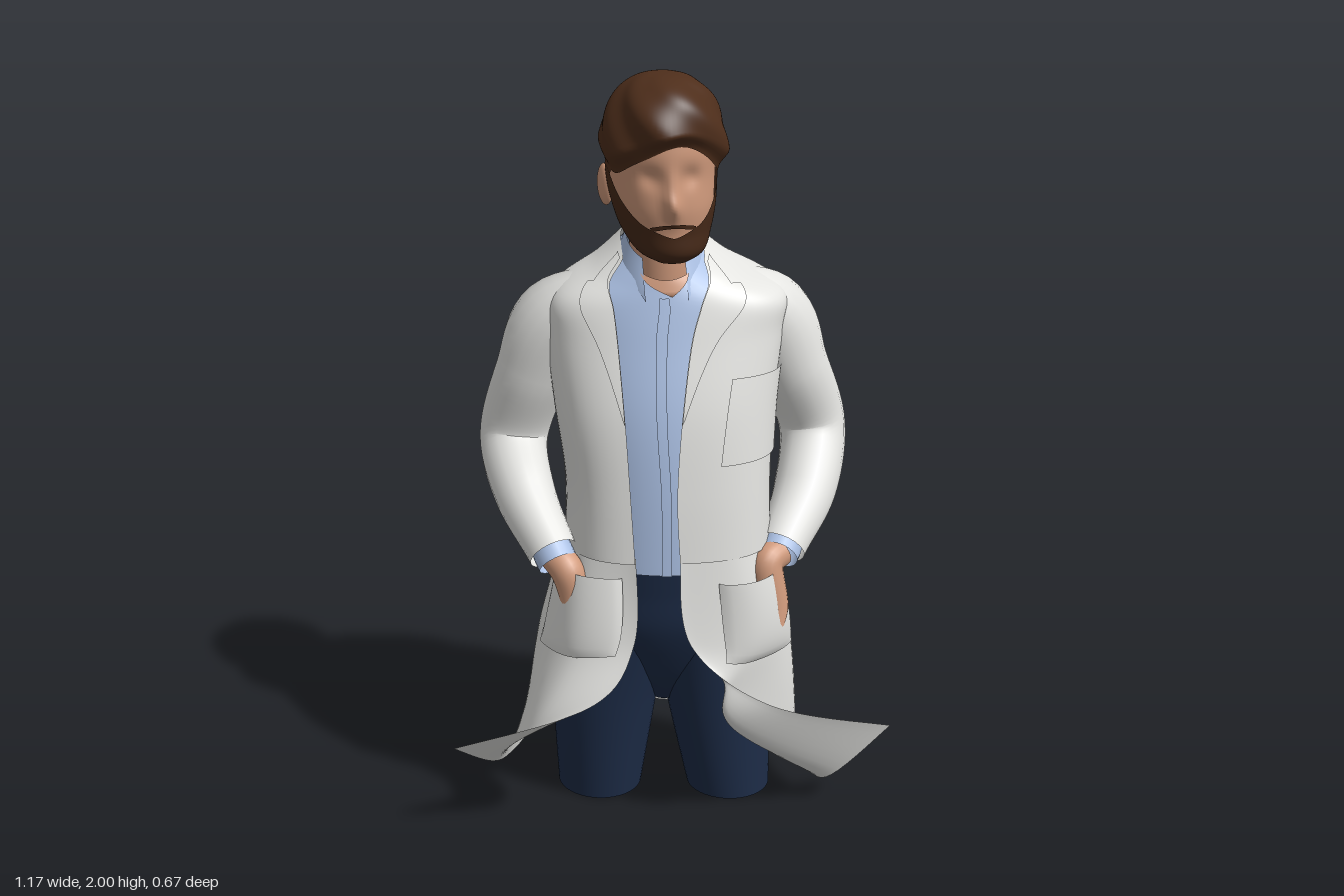
import * as THREE from 'three';
import { mergeVertices } from 'three/addons/utils/BufferGeometryUtils.js';

const paint = (name, color, side = THREE.FrontSide) => {
  const m = new THREE.MeshStandardMaterial({ color, side });
  m.name = name;
  return m;
};
const white = paint('coat white', 0xe4e4e1, THREE.DoubleSide);
const blue = paint('shirt blue', 0xabc0e3, THREE.DoubleSide);
const navy = paint('trouser navy', 0x1d2c47);
const skin = paint('skin', 0xd09a7c);
const brown = paint('hair brown', 0x4e2e1b, THREE.DoubleSide);
const dark = paint('beard brown', 0x472a19, THREE.DoubleSide);

const BODY = -0.22, HEAD = -0.15; // yaw of body and head
const { lerp, clamp, smoothstep } = THREE.MathUtils;
const bell = (x, w) => Math.exp(-((x / w) ** 2));

// Smooth interpolation through a list of equal-length rows, t from 0 to 1
function spline(rows, t) {
  const n = rows.length - 1, f = clamp(t, 0, 1) * n;
  const i = Math.min(Math.floor(f), n - 1), k = f - i;
  const [a, b, c, d] = [-1, 0, 1, 2].map(o => rows[clamp(i + o, 0, n)]);
  return b.map((_, m) => 0.5 * (2 * b[m] + (c[m] - a[m]) * k
    + (2 * a[m] - 5 * b[m] + 4 * c[m] - d[m]) * k * k
    + (3 * b[m] - a[m] - 3 * c[m] + d[m]) * k * k * k));
}

// Point on a turned ellipse; angle 0 is the front, tilt lowers the front, n above 2 is boxier
function ring([y, cx, cz, rx, rz, tilt = 0], angle, yaw, n = 2) {
  const S = Math.sin(angle), C = Math.cos(angle), c = Math.cos(yaw), s = Math.sin(yaw);
  const r = (Math.abs(S) ** n + Math.abs(C) ** n) ** (-1 / n), X = rx * S * r, Z = rz * C * r;
  return new THREE.Vector3(cx + X * c + Z * s, y - tilt * C, cz - X * s + Z * c);
}

// Surface from fn(u, v), pushed out along its normal by offset(u, v)
function sheet(fn, nu, nv, offset) {
  const pos = [], idx = [], e = 0.004;
  for (let j = 0; j <= nv; j++) for (let i = 0; i <= nu; i++) {
    const u = i / nu, v = j / nv, p = fn(u, v);
    if (offset) {
      const du = fn(Math.min(u + e, 1), v).sub(fn(Math.max(u - e, 0), v));
      const dv = fn(u, Math.min(v + e, 1)).sub(fn(u, Math.max(v - e, 0)));
      p.addScaledVector(du.cross(dv).normalize(), offset(u, v));
    }
    pos.push(p.x, p.y, p.z);
    if (i < nu && j < nv) {
      const a = j * (nu + 1) + i, b = a + nu + 1;
      idx.push(a, a + 1, b, a + 1, b + 1, b);
    }
  }
  const g = new THREE.BufferGeometry();
  g.setAttribute('position', new THREE.Float32BufferAttribute(pos, 3));
  g.setIndex(idx);
  const merged = mergeVertices(g, 1e-5);
  merged.computeVertexNormals();
  return merged;
}
const flat = d => () => d;
// Open-topped bag shape for the hip pockets
const bag = (u, v) => .006 + .034 * Math.sin(Math.PI * u) ** .6 * Math.cos(v * Math.PI / 2) ** .6;

// Closed body through ellipse rows listed from bottom to top
const loft = (rows, yaw, nu = 40, nv = 32) =>
  sheet((u, v) => ring(spline(rows, v), lerp(-Math.PI, Math.PI, u), yaw), nu, nv);

// Tube through [x, y, z, radius] points
function limb(pts) {
  const curve = new THREE.CatmullRomCurve3(pts.map(p => new THREE.Vector3(...p)));
  const n = 40, sides = 20, g = new THREE.TubeGeometry(curve, n, 1, sides), a = g.attributes.position;
  const p = new THREE.Vector3();
  for (let i = 0; i <= n; i++) {
    const c = curve.getPointAt(i / n), r = spline(pts.map(q => [q[3]]), curve.getUtoTmapping(i / n))[0];
    for (let j = 0; j <= sides; j++) {
      const k = i * (sides + 1) + j;
      p.fromBufferAttribute(a, k).sub(c).multiplyScalar(r).add(c);
      a.setXYZ(k, p.x, p.y, p.z);
    }
  }
  return g;
}

// Upper coat rows: y, centre x, centre z, radius x, radius z, tilt, opening right x, opening left x
const coatRows = [
  [1.55, .035, -.03, .105, .125, .06, -.09, .10],
  [1.50, .045, -.05, .18, .155, .03, -.12, .10],
  [1.43, .06, -.062, .30, .187, .01, -.12, .08],
  [1.33, .05, -.06, .308, .208, 0, -.12, .05],
  [1.15, .038, -.03, .288, .222, 0, -.12, .015],
  [.95, .04, -.005, .27, .225, 0, -.115, -.005],
  [.775, .04, 0, .272, .235, 0, -.11, -.002],
];
function coat(u, v) {
  const row = spline(coatRows, v), [, cx, , rx, rz] = row;
  const angleAt = x => Math.asin(clamp((x - cx - rz * Math.sin(BODY)) / (rx * Math.cos(BODY)), -1, 1));
  return ring(row, lerp(angleAt(row[6]), angleAt(row[7]) - 2 * Math.PI, u), BODY, 2.8);
}

// Skirt rows run from the right front edge round the back to the left front edge
const skirtRows = [
  Array.from({ length: 11 }, (_, j) => {
    const p = coat(j / 10, 1);
    return [lerp(.04, p.x, .98), .79, p.z * .98];
  }),
  [[-.125, .56, .225], [-.265, .54, .13], [-.30, .53, -.06], [-.20, .53, -.22], [-.05, .53, -.26], [.14, .53, -.235],
    [.285, .53, -.14], [.353, .53, .0], [.325, .53, .17], [.18, .53, .265], [.02, .55, .26]],
  [[-.25, .41, .245], [-.375, .33, .13], [-.34, .30, -.07], [-.22, .30, -.25], [-.08, .30, -.29], [.12, .30, -.26],
    [.295, .30, -.165], [.38, .30, -.04], [.345, .30, .17], [.11, .33, .285], [.22, .38, .33]],
  [[-.585, .27, .10], [-.455, .15, -.015], [-.365, .11, -.13], [-.23, .12, -.29], [-.12, .12, -.33], [.07, .115, -.30],
    [.285, .11, -.19], [.405, .10, -.10], [.40, .09, .10], [.43, .07, .22], [.585, .24, .29]],
];
const skirt = (u, v) => new THREE.Vector3(...spline(skirtRows.map(r => spline(r, u)), v));
const part = (fn, u0, u1, v0, v1) => (u, v) => fn(lerp(u0, u1, u), lerp(v0, v1, v));

// Head with nose and eye hollows
const headRows = [
  [1.545, .026, .08, .035, .03], [1.57, .027, .06, .08, .078], [1.62, .025, .03, .108, .113],
  [1.68, .023, .015, .125, .138], [1.75, .022, 0, .134, .152], [1.83, .023, 0, .135, .157],
  [1.92, .025, 0, .12, .135], [1.97, .025, 0, .06, .07],
];
function headAt(angle, v) {
  const row = spline(headRows, v), y = row[0], p = ring(row, angle, HEAD);
  const d = .026 * bell(angle, .14) * bell(y - 1.695, .032) + .012 * bell(angle, .13) * bell(y - 1.745, .04)
    - .012 * bell(Math.abs(angle) - .38, .2) * bell(y - 1.765, .026);
  return p.add(new THREE.Vector3(d * Math.sin(HEAD), 0, d * Math.cos(HEAD)));
}

// Swept hair, lower at the temples and full over the forehead
function hairCap(u, v) {
  const a = lerp(-Math.PI, Math.PI, u);
  const low = -.02 - .16 * bell(Math.abs(a) - 1.2, .4) + .24 * bell(a - .12, .6);
  const f = lerp(low, Math.PI / 2, v), rim = smoothstep(v, 0, .14);
  const k = Math.max(Math.cos(f), 0) ** .8 * lerp(.87, 1, rim);
  const strands = .008 * Math.sin(6 * a + 7 * f) * Math.cos(f) * (.4 + .6 * bell(a, 1.3));
  const s = rim * (strands + .035 * bell(a + .1, .65) * Math.sin(2 * f));
  return ring([1.8 + .2 * Math.sin(f), .025, 0, .163 * k + s, .185 * k + s], a, HEAD);
}

export function createModel() {
  const model = new THREE.Group();
  const add = (name, geo, mat) => {
    const m = new THREE.Mesh(geo, mat);
    m.name = name;
    model.add(m);
    return m;
  };

  // Trousers
  add('hips', loft([[.28, .04, -.03, .04, .05], [.4, .04, -.03, .16, .13], [.54, .04, -.01, .235, .175], [.66, .04, 0, .235, .185], [.76, .04, 0, .24, .2]], BODY), navy);
  for (const [name, rows] of [
    ['rightLeg', [[0, -.125, -.1, .115, .125], [.3, -.112, -.072, .143, .14], [.54, -.075, -.04, .135, .15]]],
    ['leftLeg', [[0, .215, .02, .115, .12], [.3, .182, .01, .145, .14], [.54, .14, .01, .14, .155]]],
  ]) {
    add(name, loft(rows, 0), navy);
    const [, cx, cz, rx, rz] = rows[0];
    add(name + 'End', new THREE.CircleGeometry(1, 40).rotateX(Math.PI / 2).scale(rx, 1, rz).translate(cx, 0, cz), navy);
  }

  // Shirt with placket, open throat and folded collar
  const shirtRows = coatRows.map(([y, cx, cz, rx, rz, t]) => [y < .8 ? .735 : y, cx, cz, rx * .93, rz * .93, t]).reverse();
  const shirt = (angle, v) => ring(spline(shirtRows, v), angle, BODY);
  add('shirt', loft(shirtRows, BODY), blue);
  add('placket', sheet((u, v) => shirt(lerp(-.14, -.04, u), lerp(0, .74, v)), 3, 30, flat(.006)), blue);
  add('throat', sheet((u, v) => shirt(lerp(-.72, .6, u) * v, lerp(.75, 1, v)), 12, 10, flat(.007)), skin);
  add('shirtCollar', sheet((u, v) => {
    const start = lerp(.66, .5, v), a = lerp(start, 2 * Math.PI - start, u), front = bell(Math.min(a, 2 * Math.PI - a), .65);
    const row = spline([[1.585, .03, -.03, .088, .105, .055], [1.53, .033, -.03, .11, .128 + .05 * front, .055]], v);
    row[0] -= .075 * v * front;
    return ring(row, a, BODY);
  }, 48, 6), blue);

  // Coat
  add('coatBody', sheet(coat, 72, 48), white);
  add('coatSkirt', sheet(skirt, 90, 40), white);
  const lapelWidth = t => (t < .3 ? .06 : .12 * (1 - t));
  const lapelV = t => lerp(.02, .68, t);
  add('leftLapel', sheet((u, t) => coat(1 - lapelWidth(t) * (1 - u), lapelV(t)), 6, 40, flat(.012)), white);
  add('rightLapel', sheet((u, t) => coat(lapelWidth(t) * .8 * u, lapelV(t)), 6, 40, flat(.012)), white);
  add('chestPocket', sheet(part(coat, .80, .935, .583, .767), 12, 10, flat(.008)), white);
  add('leftPocket', sheet(part(skirt, .80, .94, .12, .4), 20, 14, bag), white);
  add('rightPocket', sheet(part(skirt, .03, .17, .10, .38), 20, 14, bag), white);

  // Arms: sleeve, cuff and hand reaching into the pocket
  add('leftSleeve', limb([[.17, 1.445, -.04, .055], [.32, 1.35, -.02, .11], [.393, 1.2, -.02, .099], [.47, 1.01, -.045, .09],
    [.41, .87, .06, .084], [.30, .757, .168, .067]]), white);
  add('rightSleeve', limb([[-.07, 1.44, -.12, .06], [-.21, 1.345, -.15, .112], [-.27, 1.2, -.19, .1], [-.315, 1.0, -.24, .092],
    [-.325, .89, -.1, .081], [-.29, .77, .052, .065]]), white);
  add('leftCuff', limb([[.32, .777, .147, .053], [.30, .757, .168, .056], [.286, .744, .183, .055]]), blue);
  add('rightCuff', limb([[-.30, .815, .01, .05], [-.29, .77, .052, .053], [-.284, .75, .073, .052]]), blue);
  const reach = (u, v, r) => [...skirt(u, v).toArray(), r];
  add('leftHand', limb([[.29, .75, .178, .043], [.25, .735, .2, .045], reach(.845, .24, .042), reach(.85, .34, .02)]), skin);
  add('rightHand', limb([[-.287, .765, .055, .042], [-.265, .735, .09, .044], reach(.11, .2, .036), reach(.1, .3, .02)]), skin);

  // Neck and head
  add('neck', loft([[1.40, .03, -.03, .08, .09], [1.5, .03, -.022, .08, .092], [1.67, .025, -.015, .085, .092]], HEAD), skin);
  add('head', sheet((u, v) => headAt(lerp(-Math.PI, Math.PI, u), v), 72, 60), skin);
  for (const side of [-1, 1]) {
    const ear = add(side > 0 ? 'leftEar' : 'rightEar', new THREE.SphereGeometry(1, 20, 14), skin);
    ear.scale.set(.016, .053, .034);
    ear.position.copy(ring([1.715, .024, -.037, .134, .1], side * Math.PI / 2, HEAD));
    ear.rotation.set(-.2, HEAD + side * -.3, 0);
  }

  // Beard rising into the sideburns, and moustache
  const beardTop = [[.27], [.31], [.365], [.47], [.6], [.62]];
  add('beard', sheet((u, v) => {
    const a = lerp(-1.72, 1.72, u);
    return headAt(a, v * spline(beardTop, Math.abs(a) / 1.72)[0]);
  }, 60, 20, flat(.006)), dark);
  add('moustache', sheet((u, v) => {
    const a = lerp(-.48, .48, u);
    return headAt(a, lerp(.348, .374, v) - .06 * Math.abs(a));
  }, 20, 4, flat(.008)), dark);

  // Hair
  add('hairTop', sheet(hairCap, 90, 36), brown);
  const nape = [[1.6, .028, -.035, .09, .1], [1.66, .025, -.012, .125, .14], [1.74, .024, -.005, .139, .158], [1.84, .025, 0, .146, .166]];
  add('hairBack', sheet((u, v) => {
    const start = lerp(1.95, 1.25, smoothstep(v, .45, .8));
    return ring(spline(nape, v), lerp(start, 2 * Math.PI - start, u), HEAD);
  }, 48, 16), brown);

  return model;
}
